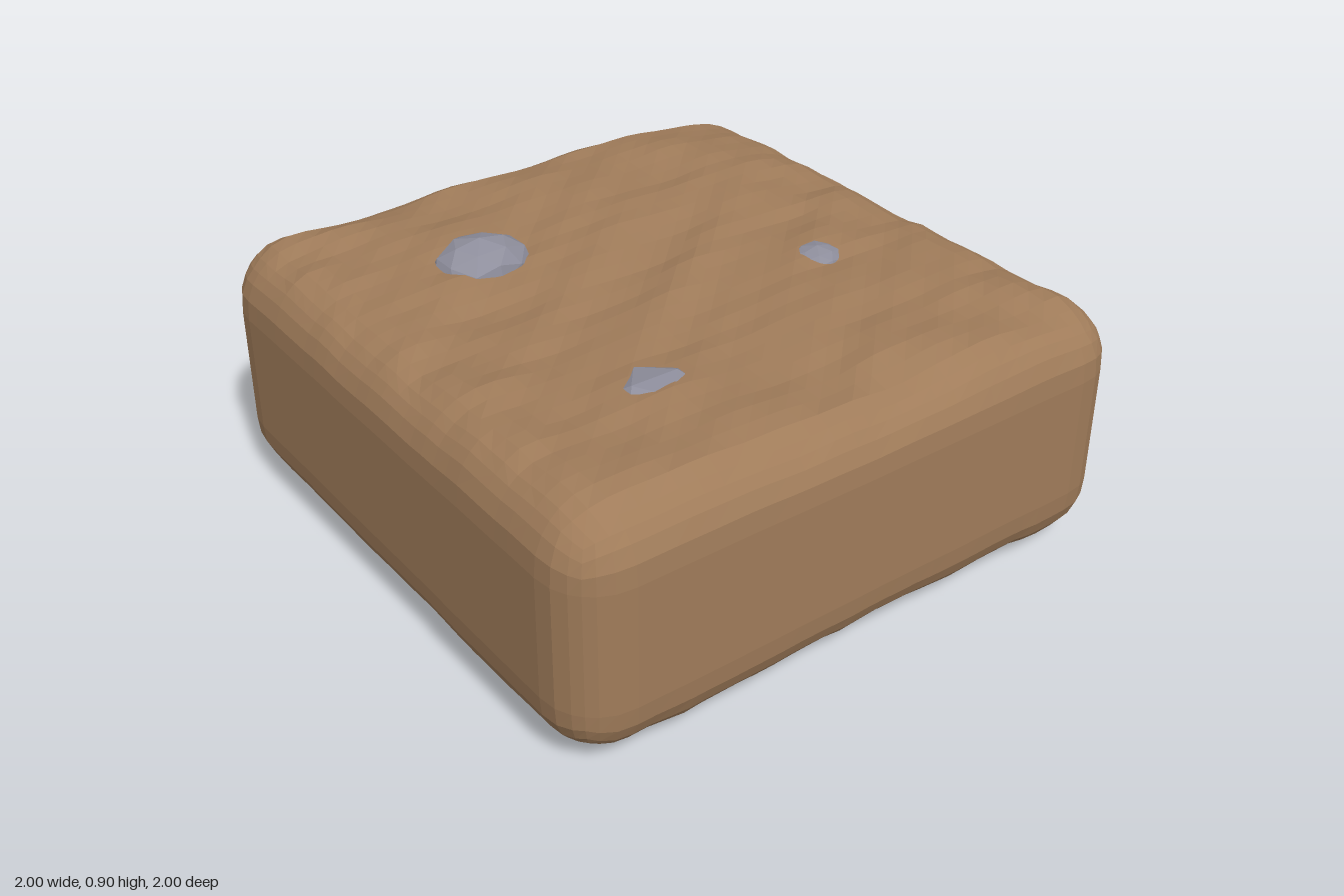
import * as THREE from 'three';

// Broad height fields on a 5 x 5 grid, rows from back to front
const TOP = [
  [.85, .84, .85, .85, .79],
  [.84, .85, .85, .85, .82],
  [.83, .82, .83, .83, .81],
  [.84, .83, .82, .83, .82],
  [.84, .84, .81, .83, .82],
];
const BOTTOM = [
  [.06, .04, .05, .05, .05],
  [.04, .02, .04, .03, .02],
  [.05, .04, .05, .05, .04],
  [.04, .02, .05, .02, .02],
  [.05, .03, .05, .04, .03],
];

const ease = (t) => t * t * (3 - 2 * t);
const lerp = THREE.MathUtils.lerp;

function sample(grid, x, z) {
  const u = THREE.MathUtils.clamp((x + 1) * 2, 0, 3.999);
  const v = THREE.MathUtils.clamp((z + 1) * 2, 0, 3.999);
  const i = Math.floor(u), j = Math.floor(v), a = ease(u - i), b = ease(v - j);
  return lerp(lerp(grid[j][i], grid[j][i + 1], a), lerp(grid[j + 1][i], grid[j + 1][i + 1], a), b);
}

// Fine ripples, drawn out along x
function ripple(x, z) {
  return 0.006 * Math.sin(20 * z + 3 * Math.sin(4 * x)) * Math.cos(5 * x + 3 * z)
    + 0.004 * Math.sin(37 * z + 11 * x) * Math.sin(13 * x - 5 * z)
    + 0.006 * Math.sin(11 * x + 6 * Math.sin(3 * z));
}

const surfaceY = (x, z) => sample(TOP, x, z) + ripple(x, z);
const undersideY = (x, z) => Math.max(0, sample(BOTTOM, x, z) + ripple(z + 0.7, x - 0.4));

// Rounded block whose top and bottom are pushed into uneven ground
function soilGeometry() {
  const half = new THREE.Vector3(1, 0.395, 1), radius = 0.18;
  const inner = half.clone().subScalar(radius), minus = inner.clone().negate();
  const geo = new THREE.BoxGeometry(2, half.y * 2, 2, 32, 12, 32);
  const pos = geo.attributes.position;
  const p = new THREE.Vector3(), core = new THREE.Vector3();
  for (let i = 0; i < pos.count; i++) {
    p.fromBufferAttribute(pos, i);
    core.copy(p).clamp(minus, inner);
    p.sub(core).setLength(radius).add(core);
    const weight = Math.pow(Math.abs(p.y) / half.y, 3);
    const offset = p.y > 0 ? surfaceY(p.x, p.z) - 0.83 : undersideY(p.x, p.z) - 0.04;
    pos.setXYZ(i, p.x, 0.435 + p.y + offset * weight, p.z);
  }
  geo.computeVertexNormals();
  return geo;
}

// Faceted stone: an icosahedron with slightly uneven corners
function stoneGeometry(detail, seed) {
  const geo = new THREE.IcosahedronGeometry(1, detail);
  const pos = geo.attributes.position, p = new THREE.Vector3();
  for (let i = 0; i < pos.count; i++) {
    p.fromBufferAttribute(pos, i);
    p.multiplyScalar(1 + 0.06 * Math.sin(5 * p.x + seed) * Math.cos(4 * p.y + 3 * p.z + seed));
    pos.setXYZ(i, p.x, p.y, p.z);
  }
  geo.computeVertexNormals();
  return geo;
}

export function createModel() {
  const group = new THREE.Group();
  const soilMat = new THREE.MeshStandardMaterial({ color: 0xa07c5a, flatShading: true });
  const stoneMat = new THREE.MeshStandardMaterial({ color: 0x8e8e9c, flatShading: true });

  const soil = new THREE.Mesh(soilGeometry(), soilMat);
  soil.name = 'soilBlock';
  group.add(soil);

  // Stones half sunk into the soil
  const stones = [
    { name: 'largeStone', at: [-0.4, 0.815, -0.39], size: [0.16, 0.097, 0.135], detail: 1, seed: 1 },
    { name: 'smallStone', at: [0.475, 0.805, 0.175], size: [0.088, 0.045, 0.085], detail: 1, seed: 2 },
    { name: 'flatStone', at: [-0.39, 0.805, 0.5], size: [0.15, 0.05, 0.12], detail: 0, seed: 3 },
  ];
  for (const s of stones) {
    const mesh = new THREE.Mesh(stoneGeometry(s.detail, s.seed), stoneMat);
    mesh.name = s.name;
    mesh.position.set(...s.at);
    mesh.scale.set(...s.size);
    group.add(mesh);
  }
  return group;
}
